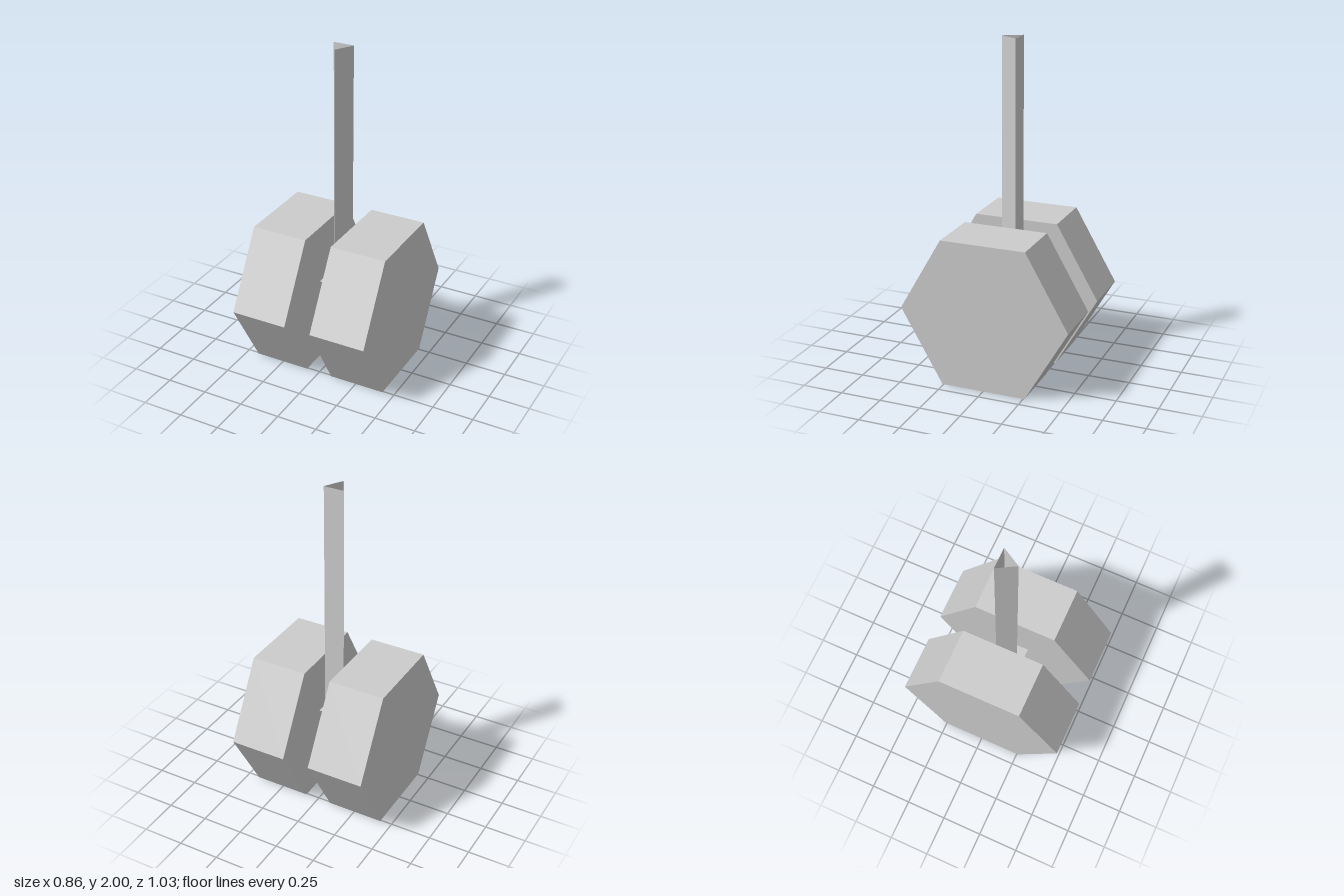
import * as THREE from 'three';

const material = new THREE.MeshStandardMaterial({ color: 0xcccccc, flatShading: true });
const openMaterial = new THREE.MeshStandardMaterial({ color: 0xcccccc, flatShading: true, side: THREE.DoubleSide });

function part(name, geometry, x, y, z, mat = material) {
  const mesh = new THREE.Mesh(geometry, mat);
  mesh.name = name;
  mesh.position.set(x, y, z);
  return mesh;
}

export function createModel() {
  const group = new THREE.Group();
  group.name = 'twinRoller';

  // Pair of six-sided wheels, flat side down, axis along x
  const radius = 0.516, width = 0.345, inner = 0.083;
  const centreY = radius * Math.sqrt(3) / 2;
  const wheel = new THREE.CylinderGeometry(radius, radius, width, 6).rotateZ(Math.PI / 2);
  for (const [name, side] of [['leftWheel', 1], ['rightWheel', -1]]) {
    group.add(part(name, wheel, side * (inner + width / 2), centreY, 0));
  }

  // Three-sided axle, flat side up
  const axle = new THREE.CylinderGeometry(0.107, 0.107, inner * 2, 3, 1, true, -Math.PI / 2).rotateZ(Math.PI / 2);
  group.add(part('axle', axle, 0, 0.477, 0, openMaterial));

  // Three-sided hollow handle, edge to the front, open at the top
  const bottom = 0.53, top = 2;
  const handle = new THREE.CylinderGeometry(0.0727, 0.0727, top - bottom, 3, 1, true);
  group.add(part('handle', handle, 0, (top + bottom) / 2, -0.018, openMaterial));

  return group;
}
